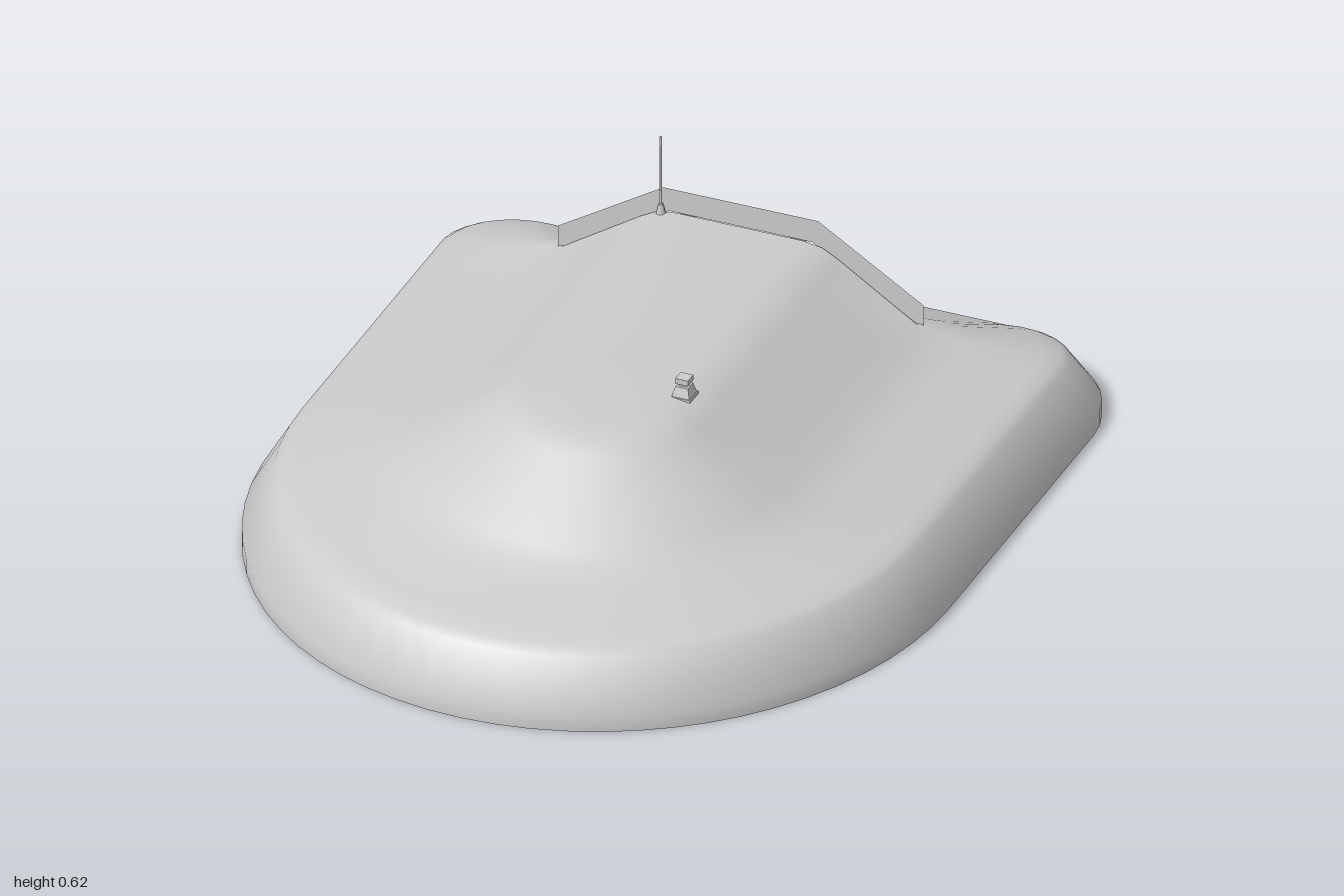
import * as THREE from 'three';
import { toCreasedNormals } from 'three/addons/utils/BufferGeometryUtils.js';

const material = new THREE.MeshStandardMaterial({ color: 0xcccccc, side: THREE.DoubleSide });

function add(parent, name, geometry, x = 0, y = 0, z = 0) {
  const mesh = new THREE.Mesh(geometry, material);
  mesh.name = name;
  mesh.position.set(x, y, z);
  parent.add(mesh);
  return mesh;
}
const box = (w, h, d) => new THREE.BoxGeometry(w, h, d);

// U-shaped contour: square rounded back, straight sides, elliptical nose.
// w half width, f front z, b back z, r back corner radius, c nose centre z,
// y height at sides and front, yb height along the back.
function contour({ w, f, b, r, c, y, yb = y }) {
  const half = [];
  for (let i = 0; i < 6; i++) half.push([(w - r) * i / 6, yb, b]);
  for (let i = 0; i <= 8; i++) {
    const a = i / 8 * Math.PI / 2;
    half.push([w - r + r * Math.sin(a), THREE.MathUtils.lerp(yb, y, i / 8), b + r - r * Math.cos(a)]);
  }
  for (let i = 1; i < 6; i++) half.push([w, y, THREE.MathUtils.lerp(b + r, c, i / 6)]);
  for (let i = 0; i <= 16; i++) {
    const a = i / 16 * Math.PI / 2;
    half.push([w * Math.cos(a), y, c + (f - c) * Math.sin(a)]);
  }
  const mirrored = half.slice(1, -1).reverse().map(([px, py, pz]) => [-px, py, pz]);
  return [...half, ...mirrored];
}

// Earth mound lofted through contours, closed at top and bottom
function moundGeometry() {
  const wall = -0.65;
  const rings = [
    { w: 0.85, f: 1.0, b: -1.0, r: 0.25, c: 0.1, y: 0 },
    { w: 0.85, f: 1.0, b: -1.0, r: 0.25, c: 0.1, y: 0.04, yb: 0.035 },
    { w: 0.78, f: 0.93, b: -0.955, r: 0.22, c: 0.1, y: 0.16, yb: 0.115 },
    { w: 0.76, f: 0.905, b: -0.94, r: 0.21, c: 0.1, y: 0.175, yb: 0.125 },
    { w: 0.72, f: 0.86, b: -0.91, r: 0.2, c: 0.1, y: 0.185, yb: 0.14 },
    { w: 0.56, f: 0.72, b: -0.74, r: 0.08, c: 0.13, y: 0.215, yb: 0.228 },
    { w: 0.50, f: 0.65, b: -0.70, r: 0.04, c: 0.15, y: 0.235, yb: 0.25 },
    { w: 0.45, f: 0.61, b: wall, r: 0, c: 0.16, y: 0.26 },
    { w: 0.25, f: 0.41, b: wall, r: 0, c: 0.18, y: 0.39 },
    { w: 0.21, f: 0.37, b: wall, r: 0, c: 0.18, y: 0.412 },
    { w: 0.16, f: 0.31, b: wall, r: 0, c: 0.18, y: 0.42 },
  ].map(contour);
  const n = rings[0].length;
  const index = [];
  for (let i = 0; i < rings.length - 1; i++) {
    for (let j = 0; j < n; j++) {
      const k = (j + 1) % n;
      const a = i * n + j, b = i * n + k, c = a + n, d = b + n;
      index.push(a, c, d, a, d, b);
    }
  }
  const bottom = rings.length * n, top = bottom + 1;
  for (let j = 0; j < n; j++) {
    const k = (j + 1) % n;
    index.push(bottom, j, k, top, bottom - n + k, bottom - n + j);
  }
  const points = [...rings.flat(), [0, 0, 0], [0, 0.42, 0]];
  const geometry = new THREE.BufferGeometry();
  geometry.setAttribute('position', new THREE.Float32BufferAttribute(points.flat(), 3));
  geometry.setIndex(index);
  return toCreasedNormals(geometry, 0.75);
}

const shape = (points) => new THREE.Shape(points.map(([x, y]) => new THREE.Vector2(x, y)));

export function createModel() {
  const model = new THREE.Group();
  model.name = 'earthShelter';
  add(model, 'earthMound', moundGeometry());

  // Thin stepped parapet framing the rear wall
  add(model, 'parapet', new THREE.ShapeGeometry(shape([
    [-0.46, 0.245], [-0.46, 0.31], [-0.195, 0.475], [0.195, 0.475], [0.46, 0.31], [0.46, 0.245],
    [0.43, 0.265], [0.18, 0.415], [-0.18, 0.415], [-0.43, 0.265],
  ])), 0, 0, -0.66);

  // Flat apron in front of the entrance
  const apron = new THREE.ExtrudeGeometry(shape([
    [-0.44, 0.65], [0.44, 0.65], [0.33, 0.76], [0.23, 0.84], [-0.23, 0.84], [-0.33, 0.76],
  ]), { depth: 0.015, bevelEnabled: false });
  apron.rotateX(-Math.PI / 2);
  add(model, 'apron', apron, 0, 0.203, 0);
  add(model, 'sidePlate', box(0.05, 0.012, 0.008), -0.49, 0.208, -0.742).rotation.y = 0.25;

  // Sliding double door with its rail and lamps
  const entrance = new THREE.Group();
  entrance.name = 'entrance';
  model.add(entrance);
  for (const s of [-1, 1]) {
    add(entrance, 'doorLeaf', box(0.155, 0.12, 0.008), s * 0.079, 0.31, -0.654);
    add(entrance, 'lamp', box(0.036, 0.014, 0.022), s * 0.138, 0.402, -0.67);
  }
  add(entrance, 'doorRail', box(0.33, 0.012, 0.014), 0, 0.375, -0.657);

  // Wall boxes
  add(model, 'switchBox', box(0.02, 0.04, 0.02), 0.27, 0.335, -0.66);
  add(model, 'cabinet', box(0.042, 0.035, 0.026), -0.32, 0.278, -0.667);
  add(model, 'cabinetConduit', box(0.01, 0.03, 0.01), -0.32, 0.31, -0.657);

  // Antenna
  add(model, 'antennaBase', new THREE.CylinderGeometry(0.006, 0.012, 0.025, 8), -0.195, 0.427, -0.645);
  add(model, 'antennaMast', new THREE.CylinderGeometry(0.003, 0.003, 0.19, 6), -0.195, 0.525, -0.645);

  // Roof ventilator with a square tapered shaft
  const vent = new THREE.Group();
  vent.name = 'ventilator';
  vent.position.set(0.18, 0, 0.095);
  model.add(vent);
  const shaft = new THREE.CylinderGeometry(0.022, 0.036, 0.035, 4);
  shaft.rotateY(Math.PI / 4);
  add(vent, 'ventShaft', toCreasedNormals(shaft, 0.5), 0, 0.427, 0);
  add(vent, 'ventBase', box(0.05, 0.02, 0.05), 0, 0.41, 0);
  add(vent, 'ventNeck', box(0.018, 0.012, 0.018), 0, 0.448, 0);
  add(vent, 'ventCap', box(0.032, 0.014, 0.032), 0, 0.459, 0);

  return model;
}
